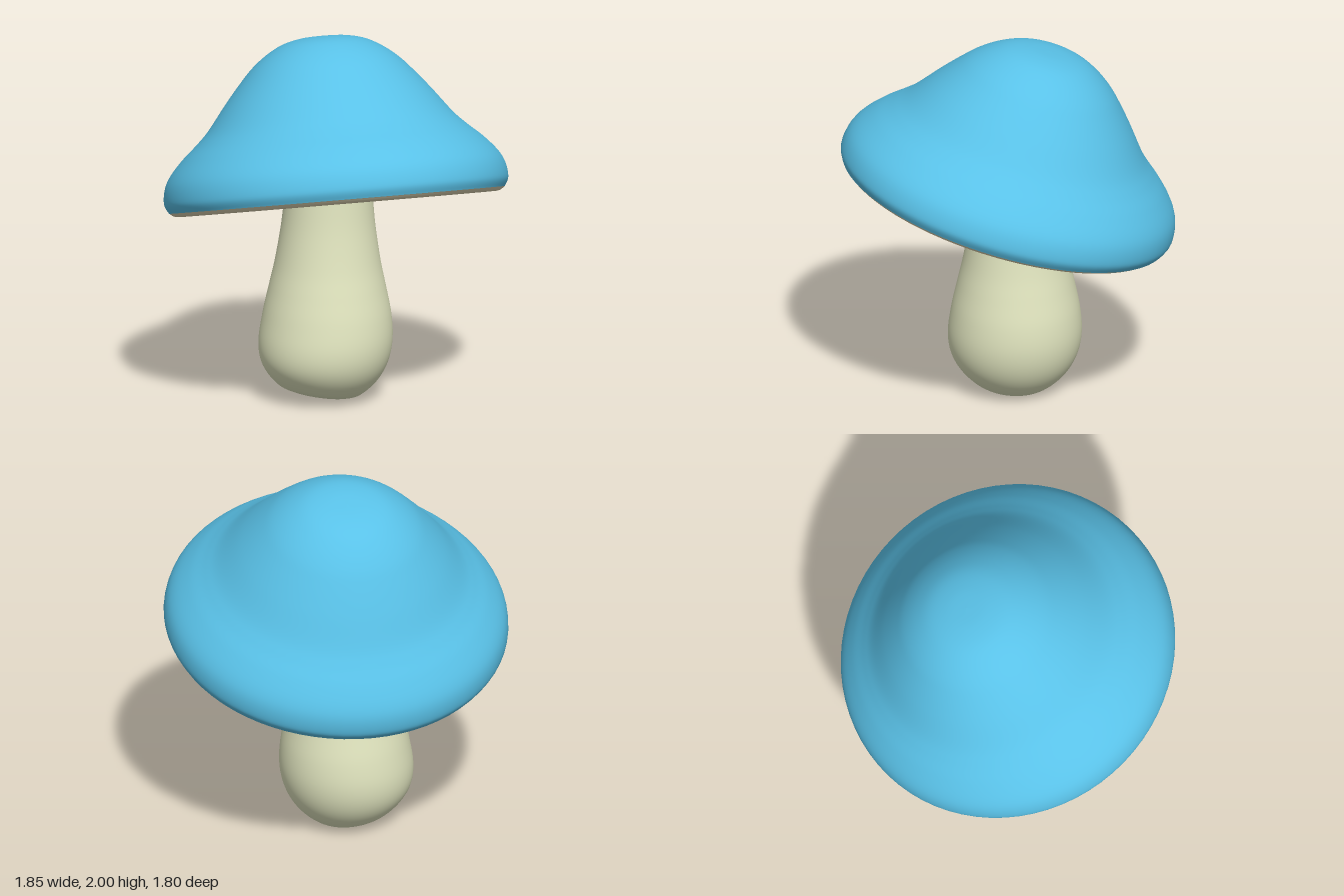
import * as THREE from 'three';
import { mergeVertices } from 'three/addons/utils/BufferGeometryUtils.js';

const SEGMENTS = 72;

// Lathe from a smooth curve through a few [radius, height] points
function lathe(points, divisions) {
  const curve = new THREE.SplineCurve(points.map(([r, h]) => new THREE.Vector2(r, h)));
  const outline = curve.getPoints(divisions);
  outline.forEach((p) => { p.x = Math.max(0, p.x); });
  return new THREE.LatheGeometry(outline, SEGMENTS);
}

// Slants the foot of the stem and leans its axis
function bendStem(geometry) {
  const pos = geometry.attributes.position;
  for (let i = 0; i < pos.count; i++) {
    const x = pos.getX(i), y = pos.getY(i), z = pos.getZ(i);
    const foot = Math.max(0, 1 - y / 0.5) ** 2;
    const lean = -0.005 - 0.02 * Math.max(0, 1 - y / 1.2) - 0.055 * foot;
    pos.setXYZ(i, x + lean, y - 0.205 * x * foot, z - 0.055);
  }
  geometry.deleteAttribute('uv');
  geometry.deleteAttribute('normal');
  const merged = mergeVertices(geometry, 1e-4);
  merged.computeVertexNormals();
  return merged;
}

export function createModel() {
  const model = new THREE.Group();
  model.name = 'mushroom';

  const material = (name, color, side = THREE.FrontSide) => {
    const m = new THREE.MeshStandardMaterial({ color, side });
    m.name = name;
    return m;
  };
  const blue = material('cap blue', 0x59c1e7);
  const beige = material('underside beige', 0xdcd2b0);
  const cream = material('stem cream', 0xe1e5bf, THREE.DoubleSide);

  const add = (parent, name, geometry, mat) => {
    const mesh = new THREE.Mesh(geometry, mat);
    mesh.name = name;
    parent.add(mesh);
  };

  // Cap: bell with a flared, rounded brim, tipped up at the front
  const cap = new THREE.Group();
  cap.name = 'cap';
  cap.position.set(-0.004, 1.112, 0.02);
  cap.quaternion.setFromUnitVectors(
    new THREE.Vector3(0, 1, 0),
    new THREE.Vector3(0.09, 1, -0.277).normalize()
  );
  add(cap, 'capTop', lathe([
    [0.905, 0], [0.928, 0.05], [0.918, 0.13], [0.882, 0.2],
    [0.81, 0.281], [0.73, 0.353], [0.66, 0.424], [0.555, 0.56], [0.463, 0.67],
    [0.39, 0.747], [0.305, 0.812], [0.215, 0.858], [0.11, 0.881], [0, 0.886],
  ], 80), blue);
  // Underside: shallow hollow that curls up around the brim
  add(cap, 'capUnderside', lathe([
    [0, 0.06], [0.25, 0.05], [0.5, 0.025], [0.75, -0.01], [0.86, -0.022], [0.905, 0],
  ], 30), beige);
  model.add(cap);

  // Stem: hollow, swollen at the foot and open at the bottom
  add(model, 'stem', bendStem(lathe([
    [0.16, 0.03], [0.225, 0.055], [0.3, 0.13], [0.345, 0.22], [0.36, 0.33],
    [0.346, 0.47], [0.315, 0.62], [0.285, 0.76], [0.255, 0.95], [0.24, 1.1],
    [0.237, 1.18], [0.25, 1.24],
  ], 60)), cream);

  return model;
}
